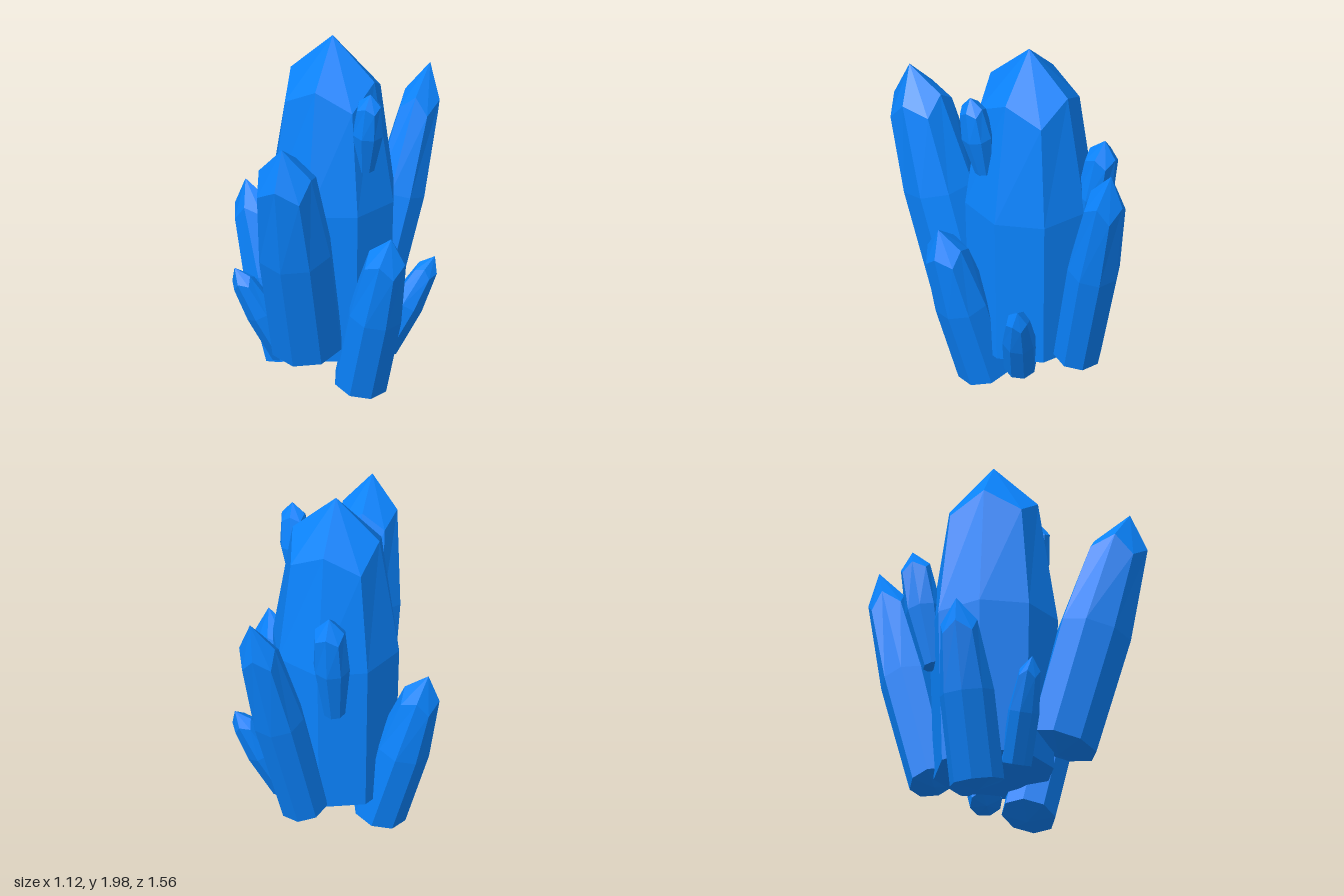
import * as THREE from 'three';

const SIDES = 8;
const material = new THREE.MeshStandardMaterial({ color: 0x0a84ff, flatShading: true });

// Eight-sided crystal from base to tip. Every other shoulder corner sits lower,
// so the point reads as four kite-shaped facets.
function crystal(name, base, tip, rBase, rMid, rTop) {
  const from = new THREE.Vector3(...base);
  const axis = new THREE.Vector3(...tip).sub(from);
  const length = axis.length();
  const rings = [
    () => [0, rBase],
    () => [0.483, rMid],
    (i) => (i % 2 ? [0.807, rTop * 1.14] : [0.869, rTop]),
  ];

  const positions = [0, -0.28 * rBase, 0];
  for (const ring of rings) {
    for (let i = 0; i < SIDES; i++) {
      const [t, r] = ring(i);
      const a = (i / SIDES) * Math.PI * 2;
      positions.push(Math.sin(a) * r, t * length, Math.cos(a) * r);
    }
  }
  positions.push(0, length, 0);

  const at = (ring, i) => 1 + ring * SIDES + (i % SIDES);
  const last = 1 + rings.length * SIDES;
  const index = [];
  for (let i = 0; i < SIDES; i++) {
    index.push(0, at(0, i + 1), at(0, i)); // blunt underside
    for (let k = 0; k < rings.length - 1; k++) {
      index.push(at(k, i), at(k, i + 1), at(k + 1, i + 1));
      index.push(at(k, i), at(k + 1, i + 1), at(k + 1, i));
    }
    index.push(at(2, i), at(2, i + 1), last); // pointed top
  }

  let geometry = new THREE.BufferGeometry();
  geometry.setAttribute('position', new THREE.Float32BufferAttribute(positions, 3));
  geometry.setIndex(index);
  geometry = geometry.toNonIndexed();
  geometry.computeVertexNormals();

  const mesh = new THREE.Mesh(geometry, material);
  mesh.name = name;
  mesh.position.copy(from);
  mesh.quaternion.setFromUnitVectors(new THREE.Vector3(0, 1, 0), axis.normalize());
  return mesh;
}

export function createModel() {
  const group = new THREE.Group();
  group.name = 'crystalCluster';

  // name, base centre, tip, radius at base, middle and shoulder
  const crystals = [
    ['mainCrystal', [0.035, 0.22, -0.055], [0.035, 2.0, -0.055], 0.325, 0.348, 0.24],
    ['frontCrystal', [0.04, 0.35, 0.31], [0.05, 1.66, 0.68], 0.198, 0.205, 0.15],
    ['backCrystal', [0.11, 0.24, -0.4], [0.31, 1.58, -0.735], 0.13, 0.143, 0.1],
    ['leftCrystal', [0.255, 0.06, 0.085], [0.49, 1.01, 0.23], 0.148, 0.15, 0.105],
    ['rightCrystal', [-0.215, 0.06, -0.09], [-0.5, 1.01, -0.14], 0.148, 0.148, 0.1],
    ['smallFrontRightCrystal', [-0.165, 0.17, 0.11], [-0.4, 0.68, 0.25], 0.085, 0.086, 0.057],
    ['smallBackLeftCrystal', [0.28, 0.17, -0.15], [0.525, 0.68, -0.285], 0.088, 0.09, 0.057],
    ['highFrontBud', [0.278, 1.32, 0.075], [0.33, 1.79, 0.13], 0.05, 0.086, 0.063],
    ['highBackBud', [-0.045, 0.84, -0.36], [-0.05, 1.515, -0.475], 0.06, 0.1, 0.08],
  ];
  for (const c of crystals) group.add(crystal(...c));
  return group;
}
